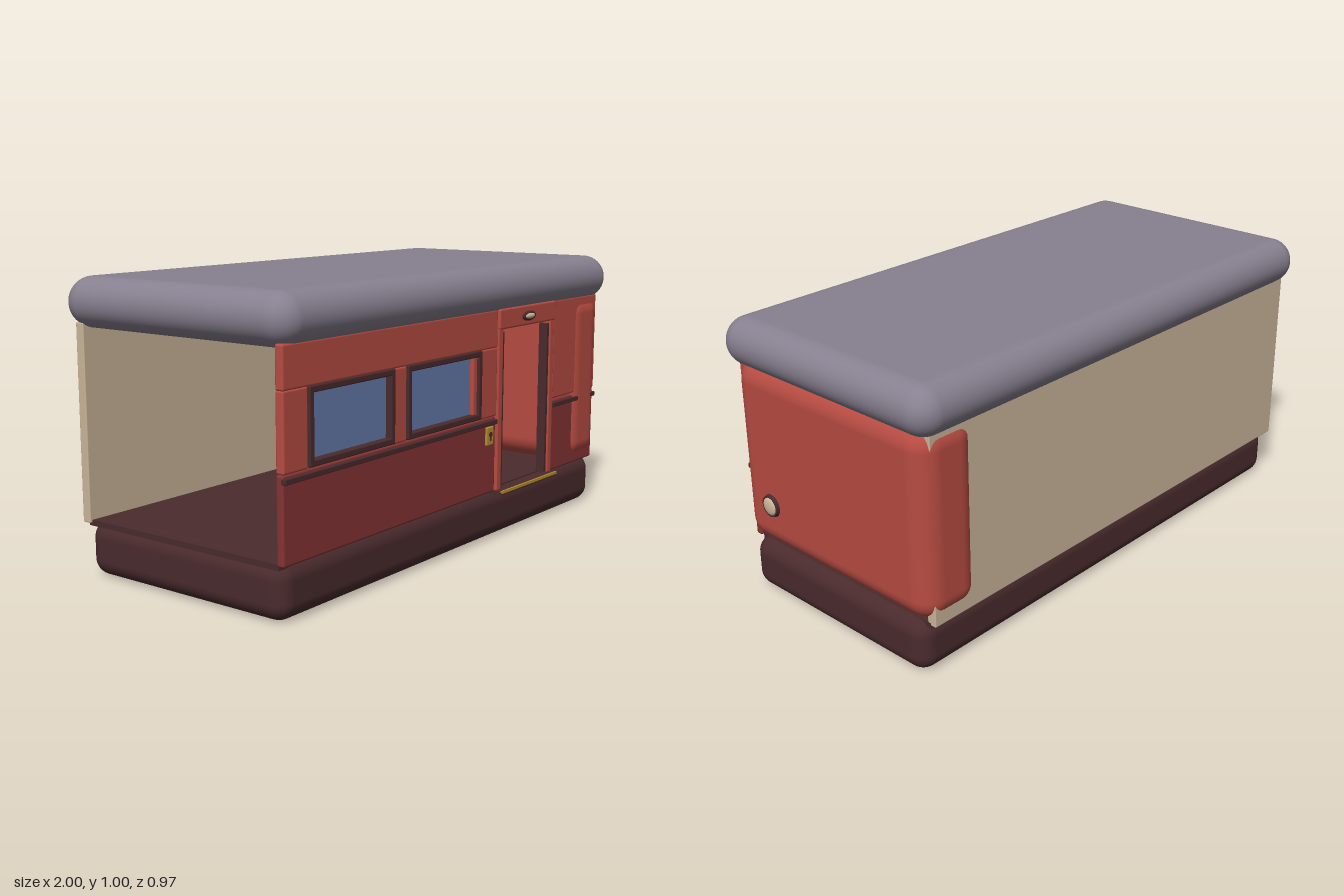
import * as THREE from 'three';
import { RoundedBoxGeometry } from 'three/addons/geometries/RoundedBoxGeometry.js';

const mat = (name, color) => {
  const m = new THREE.MeshStandardMaterial({ color });
  m.name = name;
  return m;
};

export function createModel() {
  const model = new THREE.Group();
  model.name = 'diningCar';

  const red = mat('red', 0xb84c42);
  const darkRed = mat('dark red', 0x873435);
  const brown = mat('dark brown', 0x4a2b2d);
  const grey = mat('roof grey', 0x878090);
  const beige = mat('beige', 0xcbb69b);
  const blue = mat('blue', 0x667bab);
  const gold = mat('gold', 0xb78e2c);

  const add = (name, geometry, material, parent = model) => {
    const mesh = new THREE.Mesh(geometry, material);
    mesh.name = name;
    parent.add(mesh);
    return mesh;
  };

  // Box given by its limits on each axis; r > 0 rounds the edges
  const block = (name, material, [x0, x1], [y0, y1], [z0, z1], r = 0, seg = 2, parent = model) => {
    const size = [x1 - x0, y1 - y0, z1 - z0];
    const geometry = r > 0 ? new RoundedBoxGeometry(...size, seg, r) : new THREE.BoxGeometry(...size);
    const mesh = add(name, geometry, material, parent);
    mesh.position.set((x0 + x1) / 2, (y0 + y1) / 2, (z0 + z1) / 2);
    return mesh;
  };

  // Main masses
  block('base', brown, [-0.97, 0.97], [0, 0.192], [-0.415, 0.437], 0.06, 6);
  block('floor', brown, [-0.96, 0.93], [0.17, 0.19], [-0.415, 0.42]);
  block('roof', grey, [-1, 1], [0.83, 1], [-0.485, 0.485], 0.0849, 8);
  block('backWall', beige, [-0.97, 0.93], [0.18, 0.85], [-0.435, -0.4], 0.004);
  block('endCap', red, [0.73, 0.97], [0.19, 0.86], [-0.445, 0.46], 0.08, 6);

  // Front wall: lower panels, window posts, upper band
  const wallZ = [0.42, 0.452];
  const lowerZ = [0.42, 0.448];
  block('lowerPanel', darkRed, [-0.97, 0.2], [0.185, 0.465], lowerZ, 0.008);
  block('lowerPanel', darkRed, [0.6, 0.94], [0.185, 0.465], lowerZ, 0.008);
  block('trimRail', brown, [-0.97, 0.195], [0.437, 0.455], [0.44, 0.459], 0.003);
  block('trimRail', brown, [0.6, 0.94], [0.437, 0.455], [0.44, 0.459], 0.003);
  for (const x of [[-0.97, -0.855], [-0.435, -0.355], [0.04, 0.2]]) {
    block('windowPost', red, x, [0.465, 0.715], wallZ, 0.008);
  }
  block('upperBand', red, [-0.97, 0.2], [0.712, 0.85], wallZ, 0.008);
  block('frontPanel', red, [0.6, 0.94], [0.47, 0.85], wallZ, 0.008);

  // Two framed windows
  for (const [x0, x1] of [[-0.86, -0.432], [-0.362, 0.085]]) {
    const win = new THREE.Group();
    win.name = 'window';
    model.add(win);
    const y0 = 0.47, y1 = 0.716, w = 0.022, z = [0.42, 0.462];
    block('frameBottom', brown, [x0, x1], [y0, y0 + w], z, 0.005, 2, win);
    block('frameTop', brown, [x0, x1], [y1 - w, y1], z, 0.005, 2, win);
    block('frameSide', brown, [x0, x0 + w], [y0, y1], z, 0.005, 2, win);
    block('frameSide', brown, [x1 - w, x1], [y0, y1], z, 0.005, 2, win);
    block('glass', blue, [x0 + 0.01, x1 - 0.01], [y0 + 0.01, y1 - 0.01], [0.43, 0.438], 0, 0, win);
  }

  // Doorway
  block('doorHeader', red, [0.2, 0.6], [0.775, 0.85], [0.42, 0.46], 0.008);
  for (const s of [-1, 1]) {
    const span = (a, b) => [0.4 + s * a, 0.4 + s * b].sort((p, q) => p - q);
    block('doorPost', red, span(0.168, 0.2), [0.185, 0.78], [0.42, 0.456], 0.006);
    block('doorSeal', brown, span(0.155, 0.17), [0.19, 0.765], [0.415, 0.45]);
  }
  block('doorStep', brown, [0.2, 0.6], [0.172, 0.186], [0.4, 0.478]);
  block('stepEdge', gold, [0.2, 0.6], [0.179, 0.189], [0.474, 0.481]);
  const pole = add('grabPole', new THREE.CylinderGeometry(0.009, 0.009, 0.65, 16), gold);
  pole.position.set(0.4, 0.51, 0.27);

  // Lock plate with keyhole
  block('lockPlate', gold, [0.13, 0.175], [0.365, 0.432], [0.445, 0.456], 0.004);
  const keyTop = add('keyhole', new THREE.CylinderGeometry(0.009, 0.009, 0.006, 16), brown);
  keyTop.rotation.x = Math.PI / 2;
  keyTop.position.set(0.1525, 0.405, 0.456);
  block('keySlot', brown, [0.149, 0.156], [0.382, 0.405], [0.453, 0.459]);

  // Lamp above the door
  const doorRim = add('doorLampRim', new THREE.SphereGeometry(1, 24, 12), brown);
  doorRim.scale.set(0.05, 0.019, 0.011);
  doorRim.position.set(0.4, 0.81, 0.458);
  const doorLamp = add('doorLamp', new THREE.SphereGeometry(1, 24, 12), beige);
  doorLamp.scale.set(0.037, 0.012, 0.014);
  doorLamp.position.set(0.4, 0.81, 0.46);

  // Round lamp on the closed end
  const endRim = add('endLampRim', new THREE.CylinderGeometry(0.038, 0.042, 0.014, 32), brown);
  endRim.rotation.z = -Math.PI / 2;
  endRim.position.set(0.974, 0.36, 0.3);
  const endLamp = add('endLamp', new THREE.SphereGeometry(0.033, 24, 16), beige);
  endLamp.scale.x = 0.35;
  endLamp.position.set(0.978, 0.36, 0.3);

  // Bench against the back wall, facing the door
  block('benchBack', blue, [0.16, 0.61], [0.365, 0.545], [-0.395, -0.35], 0.012);
  block('benchSeat', blue, [0.16, 0.61], [0.318, 0.36], [-0.395, -0.18], 0.012);
  const leg = add('benchLeg', new THREE.CylinderGeometry(0.01, 0.01, 0.135, 16), blue);
  leg.position.set(0.385, 0.255, -0.28);

  return model;
}
